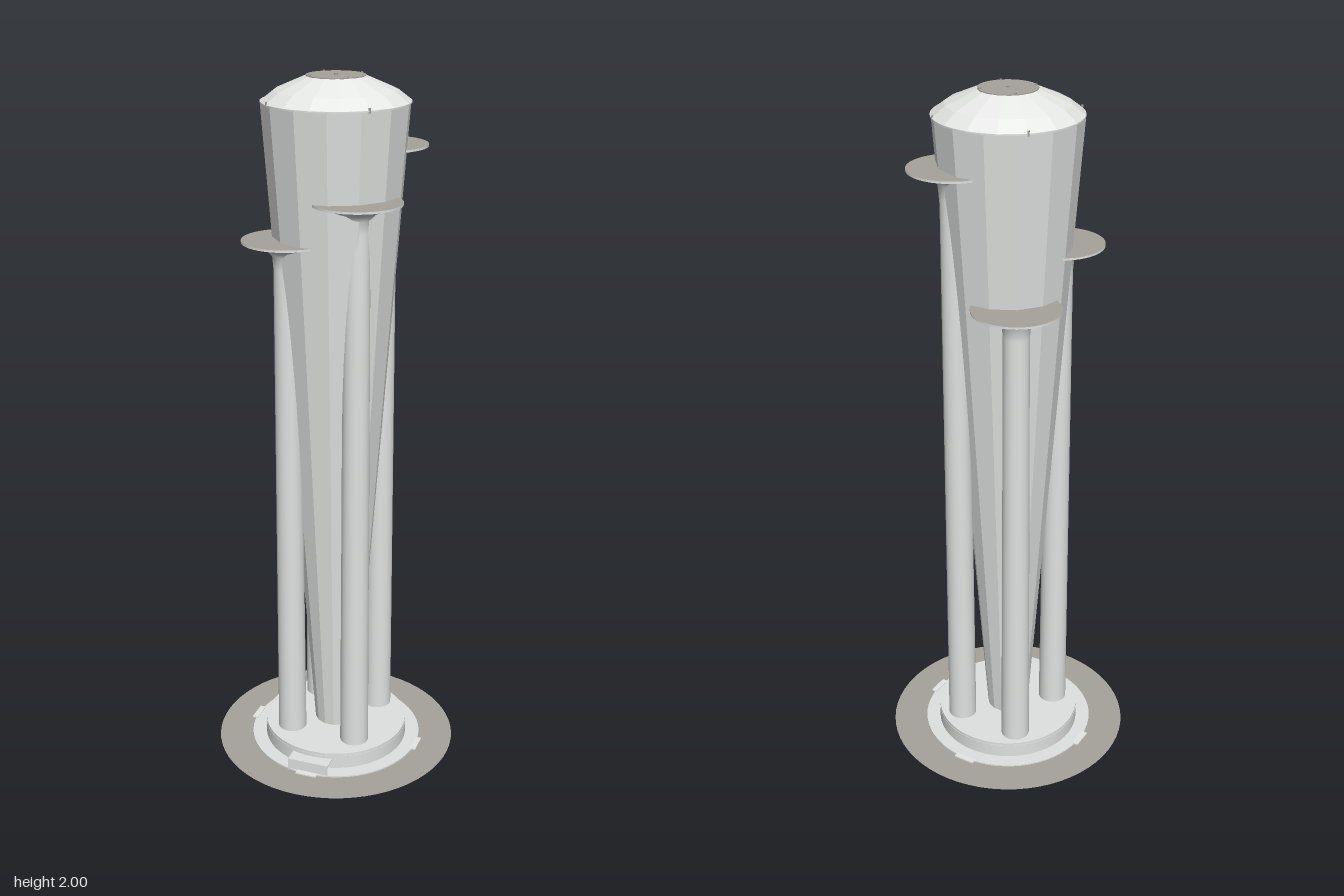
import * as THREE from 'three';

const material = (name, color, extra = {}) => {
  const m = new THREE.MeshStandardMaterial({ color, ...extra });
  m.name = name;
  return m;
};

export function createModel() {
  const model = new THREE.Group();
  const concrete = material('concrete grey', 0xdfe2e0, { flatShading: true });
  const steel = material('smooth grey', 0xdfe2e0);
  const pale = material('pale roof', 0xe7e9e7, { flatShading: true });
  const white = material('marker white', 0xf2f3f1);
  const stone = material('warm stone grey', 0xa6a39b);

  const add = (name, geometry, mat, x = 0, y = 0, z = 0, parent = model) => {
    const mesh = new THREE.Mesh(geometry, mat);
    mesh.name = name;
    mesh.position.set(x, y, z);
    parent.add(mesh);
    return mesh;
  };
  // Cylinder placed by its bottom and top heights
  const disc = (name, r, y0, y1, mat, x = 0, z = 0, parent = model, sides = 64) =>
    add(name, new THREE.CylinderGeometry(r, r, y1 - y0, sides), mat, x, (y0 + y1) / 2, z, parent);

  // Ground sheet: stone above, pale grey beneath
  add('groundTop', new THREE.CircleGeometry(0.358, 64).rotateX(-Math.PI / 2), stone, 0, 0.0008, 0);
  add('groundUnderside', new THREE.CircleGeometry(0.358, 64).rotateX(Math.PI / 2), steel);

  // Apron and plinth
  disc('apron', 0.257, 0.001, 0.005, steel);
  disc('plinth', 0.215, 0.005, 0.046, steel);
  disc('plinthTop', 0.214, 0.046, 0.054, steel);

  // White marker plates on the four sides
  for (let i = 0; i < 4; i++) {
    const a = i * Math.PI / 2;
    const plate = add('markerPlate', new THREE.BoxGeometry(0.064, 0.004, 0.017), white,
      0.2585 * Math.sin(a), 0.0045, 0.2585 * Math.cos(a));
    plate.rotation.y = a;
  }

  // Front step: tread and riser with open ends
  add('stepTread', new THREE.BoxGeometry(0.124, 0.003, 0.044), steel, 0, 0.036, 0.227);
  add('stepRiser', new THREE.BoxGeometry(0.124, 0.033, 0.003), steel, 0, 0.02, 0.2475);

  // Faceted core that widens upward, with a round rim
  const core = new THREE.CylinderGeometry(0.2, 0.062, 1.88, 14);
  core.rotateY(Math.PI / 14);
  add('core', core, concrete, 0, 0.99, 0);
  disc('rim', 0.2, 1.927, 1.931, steel);

  // Faceted roof and its flat cap
  const roofProfile = [[0.2, 1.931], [0.165, 1.958], [0.079, 1.995], [0, 1.995]];
  add('roof', new THREE.LatheGeometry(roofProfile.map(p => new THREE.Vector2(...p)), 16), pale);
  disc('roofCap', 0.079, 1.992, 1.997, stone);
  disc('capPin', 0.005, 1.995, 2, stone, 0, 0, model, 8);
  for (const sx of [-1, 1]) for (const sz of [-1, 1]) {
    disc('capPin', 0.003, 1.995, 2, stone, sx * 0.053, sz * 0.053, model, 8);
    disc('rimPin', 0.003, 1.925, 1.938, stone, sx * 0.14, sz * 0.14, model, 8);
  }

  // Four columns, each flaring into a stone-topped platform at its own height
  const columns = [
    [0.095, 1.69, 0.103],
    [-0.107, 1.572, 0.095],
    [0.095, 1.805, -0.118],
    [-0.097, 1.455, -0.122],
  ];
  for (const [x, top, z] of columns) {
    const column = new THREE.Group();
    column.name = 'column';
    column.position.set(x, 0, z);
    model.add(column);
    const profile = [[0.042, 0.05], [0.036, top - 0.08], [0.039, top - 0.045],
      [0.053, top - 0.029], [0.08, top - 0.018], [0.119, top - 0.006]];
    add('shaft', new THREE.LatheGeometry(profile.map(p => new THREE.Vector2(...p)), 40), steel, 0, 0, 0, column);
    disc('platform', 0.122, top - 0.006, top, [steel, stone, steel], 0, 0, column, 48);
  }
  return model;
}
